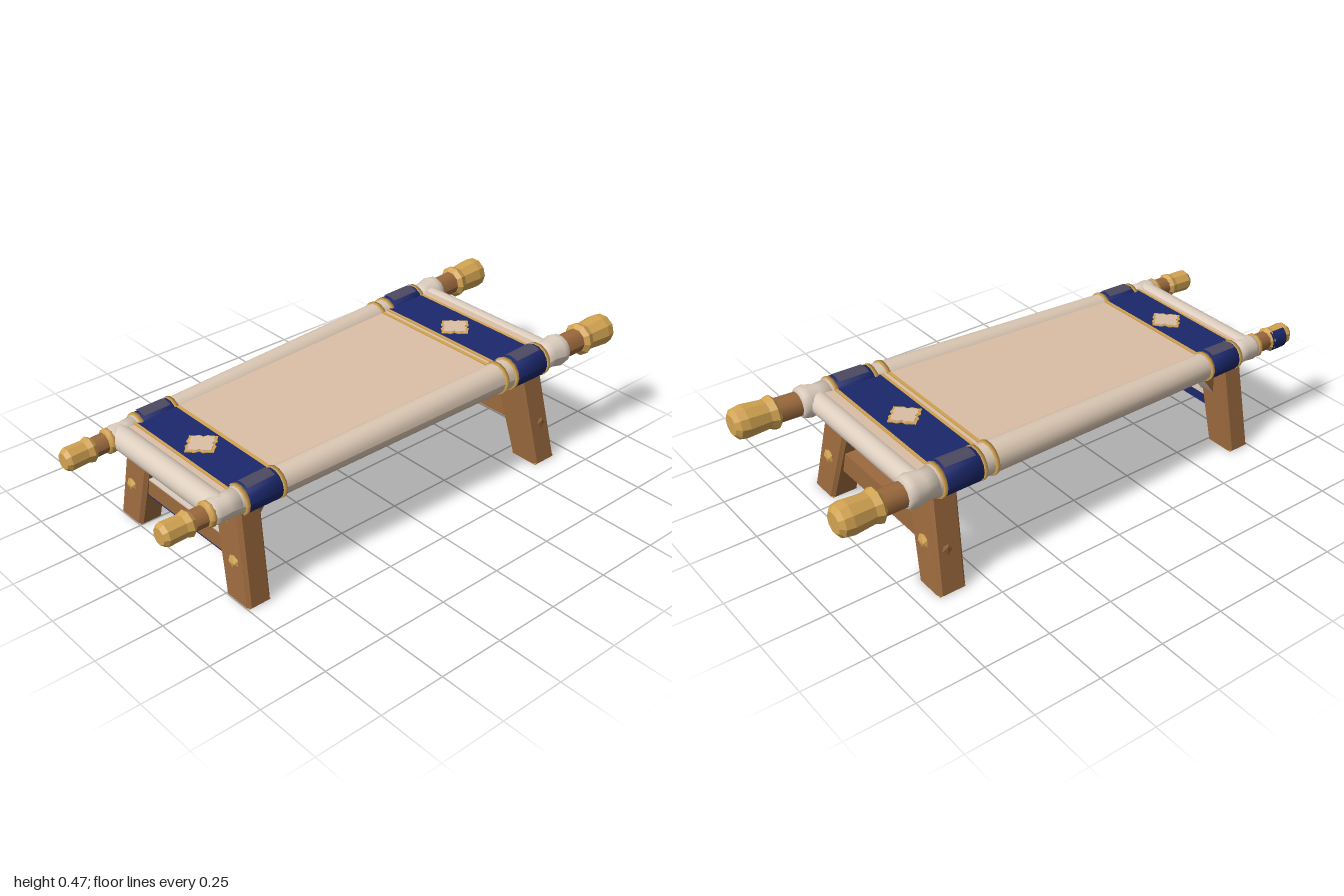
import * as THREE from 'three';

const mat = (name, color) => {
  const m = new THREE.MeshStandardMaterial({ color });
  m.name = name;
  return m;
};

// Pole line: the stretcher widens, rises and thickens towards +x
const poleZ = x => 0.305 + 0.03 * x;
const poleY = x => 0.388 + 0.026 * x;
const sleeveR = x => 0.053 + 0.006 * x;
const sheetY = x => poleY(x) + 0.029;

export function createModel() {
  const wood = mat('brown wood', 0x9c6a3e);
  const gold = mat('dull gold', 0xd2a352);
  const cloth = mat('tan cloth', 0xdcbfa6);
  const sleeveCloth = mat('light tan cloth', 0xdcc8b4);
  const pale = mat('pale cloth', 0xdccdbe);
  const blue = mat('navy blue', 0x1b276b);
  const faded = mat('faded navy', 0x4d4a62);
  const root = new THREE.Group();

  const add = (name, geo, material) => {
    const mesh = new THREE.Mesh(geo, material);
    mesh.name = name;
    root.add(mesh);
    return mesh;
  };

  // Round part along a pole; stations are [x, radius], listed from -x to +x
  const along = (name, stations, side, material, sides = 14, flat = false) => {
    const pts = stations.map(([x, r]) => new THREE.Vector2(r, x));
    pts.unshift(new THREE.Vector2(0, stations[0][0]));
    pts.push(new THREE.Vector2(0, stations[stations.length - 1][0]));
    let geo = new THREE.LatheGeometry(pts, sides);
    geo.rotateZ(-Math.PI / 2);
    const p = geo.attributes.position;
    for (let i = 0; i < p.count; i++) {
      const x = p.getX(i);
      p.setY(i, p.getY(i) + poleY(x));
      p.setZ(i, p.getZ(i) + side * poleZ(x));
    }
    if (flat) geo = geo.toNonIndexed();
    geo.computeVertexNormals();
    return add(name, geo, material);
  };

  // Curved painted patch around part of a pole; the top lies at 1.5 PI
  const patch = (name, x, width, r, side, start, length, material) => {
    const m = add(name, new THREE.CylinderGeometry(r, r, width, 8, 1, true, start * Math.PI, length * Math.PI), material);
    m.rotation.z = -Math.PI / 2 + 0.026;
    m.position.set(x, poleY(x), side * poleZ(x));
  };

  // Flat cloth between the poles, following their taper
  const sheet = (name, x0, x1, thick, material) => {
    const geo = new THREE.BoxGeometry(1, thick, 2);
    const p = geo.attributes.position;
    for (let i = 0; i < p.count; i++) {
      const x = x0 + (p.getX(i) + 0.5) * (x1 - x0);
      p.setXYZ(i, x, p.getY(i) + sheetY(x), p.getZ(i) * (poleZ(x) - 0.012));
    }
    geo.computeVertexNormals();
    return add(name, geo, material);
  };

  // Straight wrap of constant offset over a sleeve
  const wrap = (name, x0, x1, extra, side, material) =>
    along(name, [[x0, sleeveR(x0) + extra], [x1, sleeveR(x1) + extra]], side, material);

  // Poles, knobbed ends, collars and cloth sleeves
  for (const s of [-1, 1]) {
    along('pole', [[-0.97, 0.036], [0.97, 0.047]], s, wood, 10);
    along('footFinial', [[-1, 0.03], [-0.985, 0.042], [-0.92, 0.04], [-0.9, 0.047], [-0.885, 0.037]], s, gold, 9, true);
    along('headFinial', [[0.835, 0.048], [0.85, 0.063], [0.875, 0.054], [0.955, 0.061], [0.985, 0.056], [1, 0.038]], s, gold, 10, true);
    along('footPoleRing', [[-0.84, 0.037], [-0.83, 0.046], [-0.82, 0.046], [-0.812, 0.04]], s, gold, 10);
    along('footCollar', [[-0.822, 0.04], [-0.8, 0.047], [-0.76, 0.043], [-0.71, 0.047]], s, pale);
    along('headCollar', [[0.63, 0.055], [0.68, 0.051], [0.72, 0.06], [0.745, 0.056], [0.755, 0.046]], s, pale);
    wrap('sleeve', -0.72, 0.64, 0, s, sleeveCloth);
    wrap('footBandWrap', -0.7, -0.57, 0.004, s, blue);
    wrap('headBandWrap', 0.475, 0.62, 0.004, s, blue);
    patch('fadedFootPatch', -0.635, 0.11, 0.0565, s, 1.34, 0.32, faded);
    patch('fadedHeadPatch', 0.55, 0.12, 0.0635, s, 1.34, 0.32, faded);
    for (const x of [-0.706, -0.562, 0.42, 0.468, 0.626]) wrap('goldHem', x - 0.007, x + 0.007, 0.006, s, gold);
  }
  patch('polePatch', -0.925, 0.07, 0.046, -1, 0.5, 0.85, blue);

  // Bed sheet, painted bands and gold hems
  sheet('bedSheet', -0.76, 0.68, 0.012, cloth);
  sheet('footBand', -0.722, -0.565, 0.018, blue);
  sheet('headBand', 0.452, 0.622, 0.018, blue);
  for (const [x, w] of [[-0.727, 0.01], [-0.558, 0.014], [0.418, 0.012], [0.446, 0.012], [0.628, 0.012]])
    sheet('goldHemStrip', x - w / 2, x + w / 2, 0.02, gold);

  // Rolled cloth ends
  for (const [x, r] of [[-0.78, 0.044], [0.69, 0.04]]) {
    const roll = add('endRoll', new THREE.CylinderGeometry(r, r, 2 * poleZ(x), 18), pale);
    roll.rotation.x = Math.PI / 2;
    roll.position.set(x, poleY(x) + 0.001, 0);
  }

  // Jagged diamond emblems on both bands
  for (const x of [-0.64, 0.53]) {
    const layer = (name, size, y, material) => {
      const pts = [];
      for (let i = 0; i < 24; i++) {
        const a = (i / 24) * Math.PI * 2;
        const r = size * (0.86 + 0.14 * Math.cos(4 * a)) * (i % 2 ? 0.9 : 1.03);
        pts.push(new THREE.Vector2(r * Math.cos(a), r * Math.sin(a)));
      }
      const geo = new THREE.ExtrudeGeometry(new THREE.Shape(pts), { depth: 0.004, bevelEnabled: false });
      geo.rotateX(-Math.PI / 2);
      const m = add(name, geo, material);
      m.position.set(x, sheetY(x) + y, 0);
      m.rotation.z = 0.026;
    };
    layer('emblemEdge', 0.067, 0.008, gold);
    layer('emblem', 0.055, 0.011, cloth);
  }

  const bar = (name, w, h, d, x, y, z, material) =>
    add(name, new THREE.BoxGeometry(w, h, d), material).position.set(x, y, z);

  // Chamfered splayed leg with a gold foot; bottom and top are [x, y, z, width in z]
  const leg = (bottom, top, wx, side) => {
    const a = wx / 2, b = 0.5, c = 0.012, d = 0.1;
    const shape = new THREE.Shape([[a - c, -b], [a, d - b], [a, b - d], [a - c, b], [c - a, b], [-a, b - d], [-a, d - b], [c - a, -b]]
      .map(q => new THREE.Vector2(...q)));
    const geo = new THREE.ExtrudeGeometry(shape, { depth: 1, bevelEnabled: false });
    geo.rotateX(-Math.PI / 2);
    const p = geo.attributes.position;
    for (let i = 0; i < p.count; i++) {
      const [x, y, z, w] = bottom.map((v, k) => v + p.getY(i) * (top[k] - v));
      p.setXYZ(i, p.getX(i) + x, y, p.getZ(i) * w + side * z);
    }
    geo.computeVertexNormals();
    add('leg', geo, wood);
    bar('footPad', wx - 0.008, 0.006, bottom[3] - 0.008, bottom[0], 0.003, side * bottom[2], gold);
  };
  const knob = (name, r, x, y, z, sx, sz, material) => {
    const geo = new THREE.IcosahedronGeometry(r, 0);
    geo.scale(sx, 1, sz);
    add(name, geo, material).position.set(x, y, z);
  };

  for (const s of [-1, 1]) {
    leg([0.628, 0.004, 0.343, 0.124], [0.598, 0.365, 0.252, 0.15], 0.108, s);
    leg([-0.703, 0.004, 0.31, 0.124], [-0.685, 0.345, 0.245, 0.14], 0.094, s);
    // Studs on the outer end faces and knots on the sides
    for (const [y, z] of [[0.32, 0.254], [0.17, 0.302]]) {
      knob('legStud', 0.028, y > 0.2 ? 0.657 : 0.669, y, s * z, 0.5, 1, gold);
      knob('legStud', 0.027, -0.74, y - 0.02, s * (z - 0.01), 0.6, 1, gold);
    }
    knob('legKnot', 0.03, 0.625, 0.15, s * 0.364, 1, 0.5, wood);
    knob('legKnot', 0.026, -0.7, 0.14, s * 0.336, 1, 0.5, wood);
    // Corner brace under the foot end, lined with cloth on its slanted face
    const corner = new THREE.Shape([[-0.66, 0.2], [-0.57, 0.325], [-0.66, 0.34]].map(q => new THREE.Vector2(...q)));
    const brace = add('brace', new THREE.ExtrudeGeometry(corner, { depth: 0.08, bevelEnabled: false }), [wood, pale]);
    brace.position.z = s * 0.23 - 0.04;
  }

  // Crossbars; the foot one is partly covered in cloth and paint
  bar('headCrossbar', 0.055, 0.085, 0.54, 0.62, 0.172, 0, wood);
  bar('footCrossbar', 0.05, 0.066, 0.52, -0.7, 0.17, 0, wood);
  bar('crossbarTopCloth', 0.052, 0.006, 0.48, -0.7, 0.205, 0, pale);
  bar('crossbarInnerCloth', 0.006, 0.064, 0.48, -0.673, 0.17, 0, pale);
  bar('crossbarUnderPaint', 0.05, 0.006, 0.48, -0.7, 0.135, 0, blue);
  for (const z of [-0.13, 0.12]) bar('crossbarInnerPaint', 0.006, 0.036, 0.16, -0.671, 0.152, z, blue);
  return root;
}
